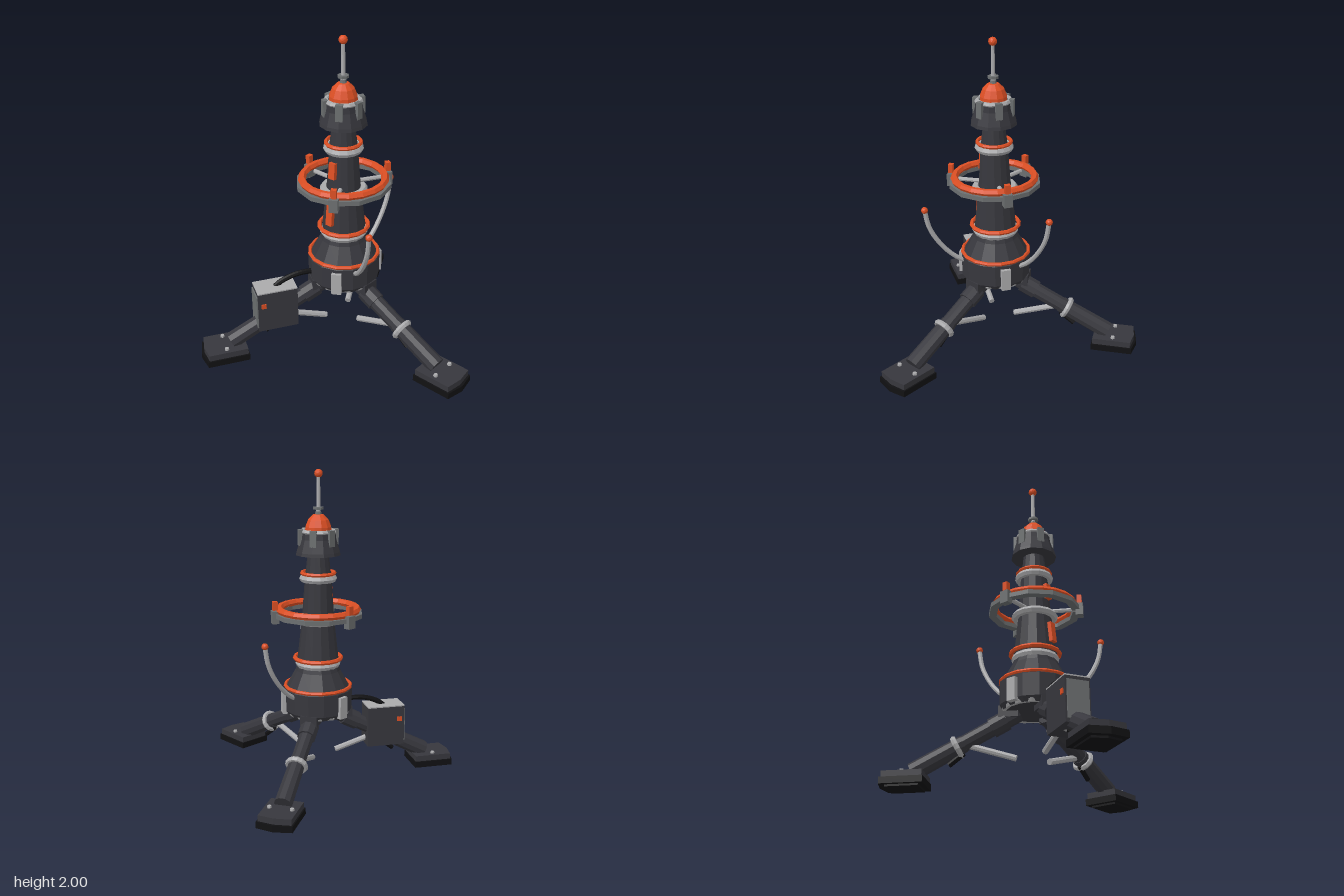
import * as THREE from 'three';

const mat = (name, color) => {
  const m = new THREE.MeshStandardMaterial({ color });
  m.name = name;
  return m;
};
const DEG = Math.PI / 180;
const V = (x, y, z = 0) => new THREE.Vector3(x, y, z);

export function createModel() {
  const dark = mat('charcoal', 0x37373d);
  const black = mat('rubber black', 0x111113);
  const light = mat('light grey', 0xaaaaac);
  const steel = mat('steel grey', 0x6c6f70);
  const orange = mat('signal orange', 0xdc4f24);

  const model = new THREE.Group();
  model.name = 'beaconTower';
  const tower = new THREE.Group();
  tower.name = 'tower';
  tower.position.z = 0.19;
  model.add(tower);

  // Faceted mesh
  const add = (parent, name, geo, material, x = 0, y = 0, z = 0) => {
    const g = geo.index ? geo.toNonIndexed() : geo;
    g.computeVertexNormals();
    const m = new THREE.Mesh(g, material);
    m.name = name;
    m.position.set(x, y, z);
    parent.add(m);
    return m;
  };
  const box = (p, name, w, h, d, material, x, y, z) =>
    add(p, name, new THREE.BoxGeometry(w, h, d), material, x, y, z);
  // Cylinder between two points
  const bar = (p, name, a, b, r0, r1, material, sides = 10) => {
    const d = b.clone().sub(a);
    const m = add(p, name, new THREE.CylinderGeometry(r1, r0, d.length(), sides), material);
    m.position.copy(a).add(b).multiplyScalar(0.5);
    m.quaternion.setFromUnitVectors(V(0, 1), d.normalize());
    return m;
  };
  // Horizontal hoop
  const hoop = (name, R, r, y, material, flat = 1, sides = 16) => {
    const g = new THREE.TorusGeometry(R, r, 6, sides).rotateX(Math.PI / 2).scale(1, flat, 1);
    return add(tower, name, g, material, 0, y, 0);
  };
  const lathe = (name, pts, material, sides = 14) =>
    add(tower, name, new THREE.LatheGeometry(pts.map(p => new THREE.Vector2(...p)), sides), material);
  // Group whose local +x points outward at the given angle
  const spoke = (name, deg) => {
    const g = new THREE.Group();
    g.name = name;
    g.rotation.y = deg * DEG;
    tower.add(g);
    return g;
  };

  // Base and column
  lathe('base', [[0, 0.43], [0.2, 0.43], [0.22, 0.46], [0.222, 0.6], [0.2, 0.62],
    [0.145, 0.72], [0.135, 0.75], [0, 0.75]], dark);
  lathe('column', [[0.12, 0.74], [0.132, 0.8], [0.105, 1.04], [0.1, 1.1],
    [0.085, 1.32], [0.08, 1.36], [0.066, 1.48]], dark);
  lathe('head', [[0.05, 1.47], [0.144, 1.47], [0.14, 1.49], [0.116, 1.57],
    [0.11, 1.62], [0, 1.62]], dark, 12);
  hoop('baseRing', 0.19, 0.018, 0.445, light);
  hoop('baseBand', 0.213, 0.012, 0.615, orange);
  hoop('lowerCollar', 0.125, 0.022, 0.765, light, 1.1);
  hoop('lowerBand', 0.15, 0.014, 0.8, orange);
  hoop('middleCollar', 0.12, 0.025, 1.05, light, 0.9);
  hoop('upperCollar', 0.1, 0.021, 1.32, light, 1.1);
  hoop('upperBand', 0.104, 0.012, 1.353, orange);
  hoop('headRing', 0.1, 0.016, 1.615, light, 1, 12);

  // Head clips
  for (let i = 0; i < 6; i++) {
    const g = spoke('headClip', i * 60 + 30);
    box(g, 'clip', 0.03, 0.1, 0.042, steel, 0.112, 1.58, 0);
  }

  // Dome and mast
  lathe('dome', [[0.085, 1.61], [0.083, 1.645], [0.065, 1.69], [0.035, 1.72], [0, 1.727]], orange, 12);
  bar(tower, 'mast', V(0, 1.71), V(0, 1.97), 0.014, 0.011, light, 8);
  bar(tower, 'mastDisc', V(0, 1.752), V(0, 1.767), 0.034, 0.034, steel, 8);
  bar(tower, 'mastFoot', V(0, 1.72), V(0, 1.74), 0.022, 0.018, steel, 8);
  add(tower, 'mastTip', new THREE.IcosahedronGeometry(0.027, 1), orange, 0, 1.973, 0);

  // Ring platform
  lathe('platformRing', [[0.24, 1.075], [0.288, 1.075], [0.288, 1.103], [0.24, 1.103], [0.24, 1.075]], steel, 12);
  hoop('platformRail', 0.25, 0.024, 1.12, orange, 0.95, 20);

  // Three-fold fittings between the legs
  for (const deg of [-90, 30, 150]) {
    const g = spoke('bracketSet', deg);
    box(g, 'basePost', 0.035, 0.14, 0.06, light, 0.222, 0.51, 0);
    bar(g, 'platformSpoke', V(0.08, 1.085), V(0.26, 1.085), 0.014, 0.014, light, 8);
    box(g, 'platformBracket', 0.045, 0.08, 0.055, steel, 0.28, 1.08, 0);
    box(g, 'platformLamp', 0.03, 0.055, 0.034, orange, 0.28, 1.153, 0);
  }

  // Orange marker plates on the column
  for (const [y, r, h] of [[0.915, 0.127, 0.13], [1.2, 0.1, 0.1]]) {
    const g = spoke('columnMarker', -118);
    const m = box(g, 'marker', 0.025, h, 0.045, orange, r, y, 0);
    m.rotation.z = 0.1;
  }

  // Curved whip antennas
  for (const deg of [-60, 60]) {
    const g = spoke('whipAntenna', deg);
    const path = new THREE.CatmullRomCurve3([V(0.17, 0.545), V(0.27, 0.61), V(0.36, 0.71),
      V(0.425, 0.83), V(0.45, 0.95)]);
    add(g, 'whip', new THREE.TubeGeometry(path, 14, 0.015, 8), light);
    add(g, 'whipTip', new THREE.IcosahedronGeometry(0.022, 1), orange, 0.45, 0.952, 0);
  }

  // Foot outline with a pointed outer end
  const footGeo = (x0, x1, tip, w, h) => {
    const s = new THREE.Shape([[x0, -w], [x1, -w], [tip, 0], [x1, w], [x0, w]]
      .map(p => new THREE.Vector2(...p)));
    return new THREE.ExtrudeGeometry(s, { depth: h, bevelEnabled: false }).rotateX(-Math.PI / 2);
  };

  // Legs
  const hip = V(0.1, 0.43), ankle = V(0.74, 0.1);
  const along = t => hip.clone().lerp(ankle, t);
  for (const deg of [90, -30, -150]) {
    const g = spoke('leg', deg);
    bar(g, 'upperLeg', hip, along(0.6), 0.05, 0.048, dark);
    bar(g, 'lowerLeg', along(0.52), ankle, 0.052, 0.056, dark);
    bar(g, 'hipSleeve', along(0.12), along(0.26), 0.06, 0.06, dark);
    box(g, 'hipBlock', 0.12, 0.07, 0.11, dark, 0.16, 0.43, 0);
    const collar = add(g, 'legCollar', new THREE.TorusGeometry(0.056, 0.018, 6, 14).rotateY(Math.PI / 2), light);
    collar.position.copy(along(0.58));
    collar.rotation.z = Math.atan2(ankle.y - hip.y, ankle.x - hip.x);
    bar(g, 'brace', V(0.12, 0.155), V(0.45, 0.26), 0.019, 0.019, light, 8);
    bar(g, 'underLegBar', V(0.43, 0.2), V(0.52, 0.13), 0.016, 0.016, black, 6);
    add(g, 'sole', footGeo(0.65, 0.91, 0.932, 0.112, 0.04), black, 0, 0.012, 0);
    add(g, 'soleTread', footGeo(0.68, 0.88, 0.9, 0.085, 0.015), black);
    add(g, 'footPlate', footGeo(0.657, 0.9, 0.915, 0.103, 0.04), dark, 0, 0.05, 0);
    for (const z of [-0.07, 0.07])
      bar(g, 'footBolt', V(0.785, 0.085, z), V(0.785, 0.103, z), 0.015, 0.013, light, 6);
  }

  // Power pack straddling one leg
  const pack = spoke('powerPack', -150);
  box(pack, 'packBody', 0.25, 0.265, 0.15, dark, 0.45, 0.312, 0);
  box(pack, 'packLid', 0.25, 0.008, 0.15, light, 0.45, 0.448, 0);
  box(pack, 'packEndPlate', 0.008, 0.22, 0.13, steel, 0.579, 0.312, 0);
  for (const z of [-0.078, 0.078])
    box(pack, 'packLight', 0.03, 0.03, 0.008, orange, 0.54, 0.36, z);
  const cable = new THREE.CatmullRomCurve3([V(0.45, 0.44), V(0.4, 0.475), V(0.3, 0.505), V(0.18, 0.505)]);
  add(pack, 'cable', new THREE.TubeGeometry(cable, 12, 0.017, 8), black);

  return model;
}
